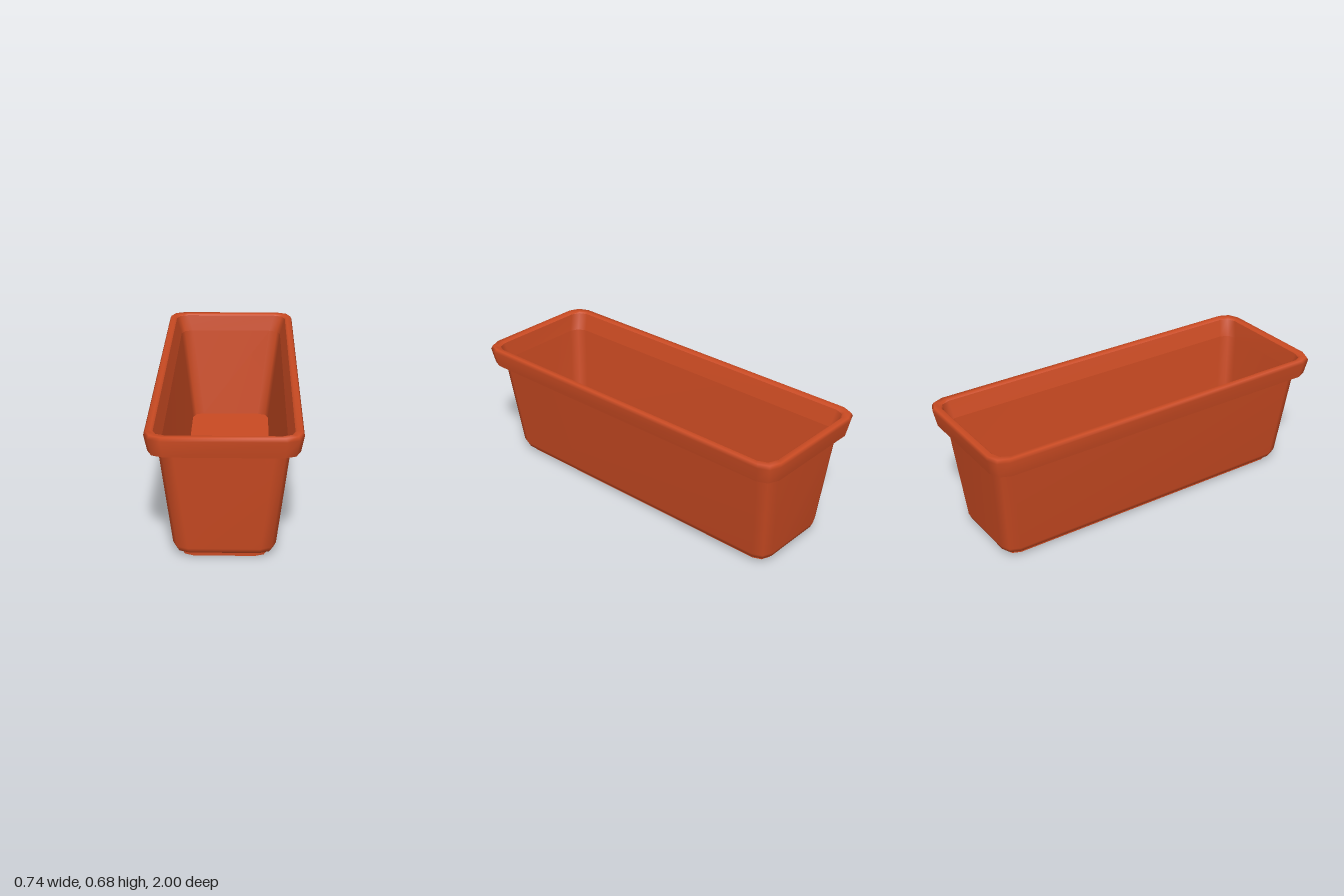
import * as THREE from 'three';

// Closed rounded-rectangle ring: half width, half depth, height, corner radius
function ring([hx, hz, y, r], steps = 2) {
  const pts = [];
  [[1, 1], [-1, 1], [-1, -1], [1, -1]].forEach(([sx, sz], q) => {
    for (let i = 0; i <= steps; i++) {
      const a = (q + i / steps) * Math.PI / 2;
      pts.push([sx * (hx - r) + r * Math.cos(a), y, sz * (hz - r) + r * Math.sin(a)]);
    }
  });
  return pts;
}

// Smooth skin through a run of rings; separate runs meet in a sharp edge
function loft(rings) {
  const loops = rings.map((p) => ring(p));
  const n = loops[0].length, index = [];
  for (let k = 0; k < loops.length - 1; k++) {
    for (let i = 0; i < n; i++) {
      const a = k * n + i, b = k * n + (i + 1) % n;
      index.push(a, a + n, b, b, a + n, b + n);
    }
  }
  const geo = new THREE.BufferGeometry();
  geo.setAttribute('position', new THREE.Float32BufferAttribute(loops.flat(2), 3));
  geo.setIndex(index);
  geo.computeVertexNormals();
  return geo;
}

export function createModel() {
  const model = new THREE.Group();
  model.name = 'planter';
  const terracotta = new THREE.MeshStandardMaterial({ color: 0xc94a22 });
  terracotta.name = 'terracotta';

  const part = (name, ...runs) => {
    const group = new THREE.Group();
    group.name = name;
    runs.forEach((run) => {
      const mesh = new THREE.Mesh(loft(run), terracotta);
      mesh.name = name + 'Surface';
      group.add(mesh);
    });
    model.add(group);
  };

  // Base plinth with a flat underside
  part('foot',
    [[0, 0, 0, 0], [0.21, 0.865, 0, 0.06]],
    [[0.21, 0.865, 0, 0.06], [0.21, 0.865, 0.02, 0.06]]);

  // Tapered outer wall with a rounded lower edge, running up under the rim
  part('body',
    [[0.205, 0.86, 0.02, 0.06], [0.215, 0.87, 0.02, 0.06], [0.239, 0.892, 0.031, 0.07],
      [0.251, 0.903, 0.058, 0.075], [0.311, 0.95, 0.575, 0.075], [0.32, 0.957, 0.65, 0.075]]);

  // Overhanging rim: hollow underside, skirt and rounded top
  part('rim',
    [[0.32, 0.957, 0.65, 0.075], [0.355, 0.985, 0.65, 0.075]],
    [[0.355, 0.985, 0.65, 0.075], [0.344, 0.972, 0.575, 0.075]],
    [[0.344, 0.972, 0.575, 0.075], [0.357, 0.985, 0.575, 0.08]],
    [[0.357, 0.985, 0.575, 0.08], [0.372, 1, 0.66, 0.08], [0.364, 0.992, 0.677, 0.08],
      [0.34, 0.965, 0.677, 0.07], [0.33, 0.955, 0.668, 0.065]]);

  // Inner wall with a sloped lip, and the floor
  part('inside',
    [[0.33, 0.955, 0.668, 0.065], [0.302, 0.941, 0.575, 0.065]],
    [[0.302, 0.941, 0.575, 0.065], [0.235, 0.88, 0.045, 0.065]],
    [[0.235, 0.88, 0.045, 0.065], [0, 0, 0.045, 0]]);

  return model;
}
